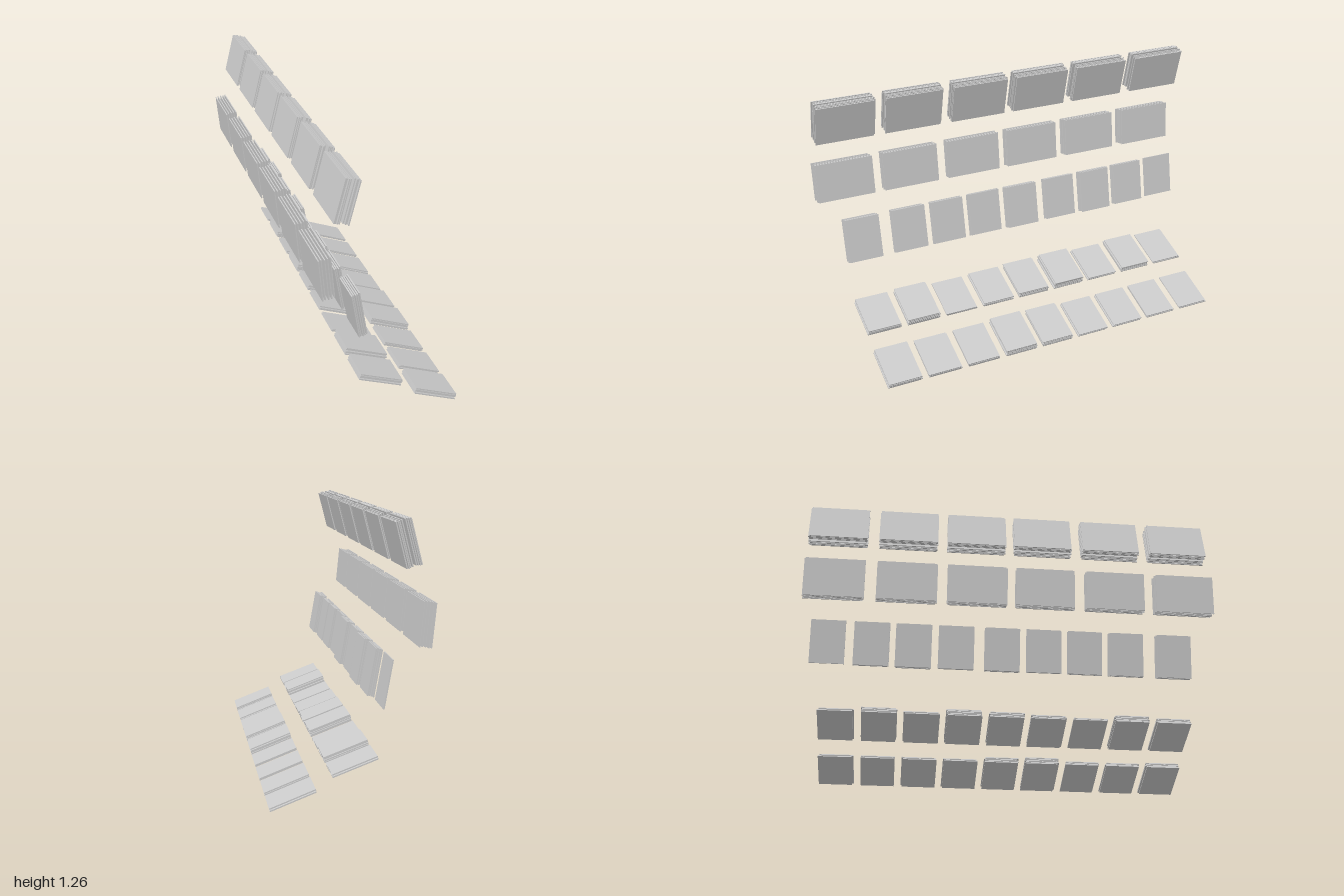
import * as THREE from 'three';

const material = new THREE.MeshStandardMaterial({ color: 0xcccccc, flatShading: true });
const evenly = (pitch, n) => Array.from({ length: n }, (_, i) => i * pitch);

// One row of stacks. Cards lie along a slope (degrees) and pile up along its normal.
function cardRow({ name, x, y, angle, length, width, thick, stacks, offsets, counts }) {
  const row = new THREE.Group();
  row.name = name;
  row.position.set(x, y, 0);
  row.rotation.z = THREE.MathUtils.degToRad(angle);
  const geometry = new THREE.BoxGeometry(length, thick, width);
  stacks.forEach((z, s) => {
    const stack = new THREE.Group();
    stack.name = name + 'Stack';
    stack.position.z = z;
    const count = counts ? counts[s] : offsets.length;
    for (let i = 0; i < count; i++) {
      const card = new THREE.Mesh(geometry, material);
      card.name = 'card';
      // slight hand-laid unevenness
      const wobble = Math.sin(s * 12.9 + i * 7.3);
      card.position.set(wobble * 0.002, offsets[i], Math.cos(s * 5.1 + i * 3.7) * 0.004);
      stack.add(card);
    }
    row.add(stack);
  });
  return row;
}

export function createModel() {
  const model = new THREE.Group();
  model.name = 'cardStacks';
  const wide = [0.853, 0.51, 0.168, -0.165, -0.505, -0.853];
  const narrow = [0.815, 0.61, 0.407, 0.203, 0, -0.205, -0.407, -0.61, -0.815];

  // Top row: two close bundles per stack, leaning towards +x
  model.add(cardRow({
    name: 'topRow', x: -0.265, y: 1.17, angle: -104.5, length: 0.2, width: 0.286, thick: 0.005,
    stacks: wide, offsets: [0, 0.008, 0.016, 0.024, 0.041, 0.049, 0.057, 0.065],
  }));
  // Upper row: loosely spaced upright cards
  model.add(cardRow({
    name: 'upperRow', x: -0.346, y: 0.817, angle: -84.5, length: 0.193, width: 0.286, thick: 0.005,
    stacks: wide, offsets: [0, 0.013, 0.027, 0.04, 0.053],
  }));
  // Middle row: narrower upright stacks of varying thickness
  model.add(cardRow({
    name: 'middleRow', x: -0.163, y: 0.562, angle: -80, length: 0.217, width: 0.168, thick: 0.006,
    stacks: [0.83, 0.59, 0.385, 0.18, -0.025, -0.253, -0.46, -0.663, -0.87],
    offsets: evenly(0.009, 5), counts: [5, 4, 4, 3, 5, 4, 5, 4, 1],
  }));
  // Two low rows lying on a gentle slope
  model.add(cardRow({
    name: 'lowerRow', x: -0.036, y: 0.183, angle: -20.2, length: 0.214, width: 0.166, thick: 0.006,
    stacks: narrow, offsets: evenly(0.0075, 5), counts: [4, 5, 2, 3, 4, 5, 2, 4, 2],
  }));
  model.add(cardRow({
    name: 'bottomRow', x: 0.236, y: 0.046, angle: -20.8, length: 0.217, width: 0.166, thick: 0.006,
    stacks: narrow, offsets: evenly(0.0075, 5), counts: [4, 3, 3, 5, 4, 2, 2, 2, 2],
  }));
  return model;
}
